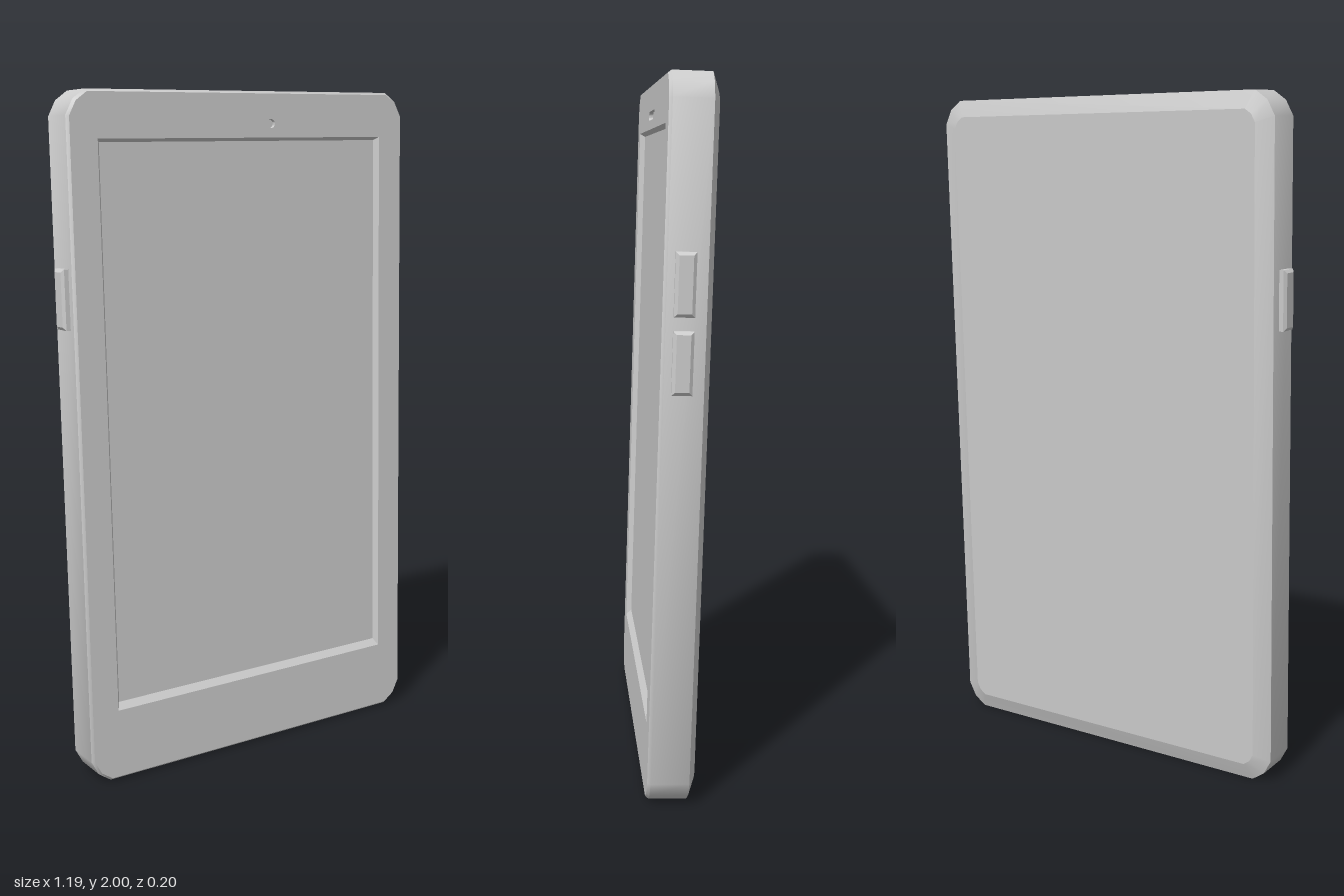
import * as THREE from 'three';
import { toCreasedNormals, mergeGeometries } from 'three/addons/utils/BufferGeometryUtils.js';

const W = 0.575, H = 0.998, FRONT = 0.067, BACK = -0.069, RIM = 0.058, SHOULDER = -0.05;
const material = new THREE.MeshStandardMaterial({ color: 0xcccccc });

const v2 = (x, y) => new THREE.Vector2(x, y);

// Counter-clockwise rectangle from its edges
const rect = (x0, x1, y0, y1) => [v2(x0, y0), v2(x1, y0), v2(x1, y1), v2(x0, y1)];

// Counter-clockwise ellipse or slot outline
function slot(cx, cy, halfWidth, r, n = 12) {
  const pts = [];
  for (let i = 0; i <= n; i++) {
    const a = -Math.PI / 2 + (Math.PI * i) / n;
    pts.push(v2(cx + halfWidth - r + r * Math.cos(a), cy + r * Math.sin(a)));
  }
  return [...pts, ...pts.map(p => v2(2 * cx - p.x, 2 * cy - p.y))];
}

const circle = (cx, cy, r, n = 32) => Array.from({ length: n }, (_, i) =>
  v2(cx + r * Math.cos((2 * Math.PI * i) / n), cy + r * Math.sin((2 * Math.PI * i) / n)));

// Body outline with softly cut corners, drawn in by d
function bodyRing(d) {
  const w = W - d, h = H - d, k = 1 - 0.586 * d / 0.06;
  const a = 0.06 * k, b = 0.07 * k;
  const corner = [v2(w, h - b), v2(w - a * 0.38, h - b * 0.38), v2(w - a, h)];
  const flip = (sx, sy) => corner.map(p => v2(p.x * sx, p.y * sy));
  return [...flip(1, 1), ...flip(-1, 1).reverse(), ...flip(-1, -1), ...flip(1, -1).reverse()];
}

// Skin between matching rings, listed from high z to low z; keep() may drop a side
function loft(rings, keep = () => true) {
  const pos = [];
  for (let r = 0; r < rings.length - 1; r++) {
    const [A, za] = rings[r], [B, zb] = rings[r + 1];
    for (let i = 0; i < A.length; i++) {
      if (!keep(r, i)) continue;
      const j = (i + 1) % A.length;
      const a = [A[i].x, A[i].y, za], b = [B[i].x, B[i].y, zb];
      const c = [B[j].x, B[j].y, zb], d = [A[j].x, A[j].y, za];
      pos.push(...a, ...b, ...c, ...a, ...c, ...d);
    }
  }
  const g = new THREE.BufferGeometry();
  g.setAttribute('position', new THREE.Float32BufferAttribute(pos, 3));
  return toCreasedNormals(g, 0.5);
}

// Flat plate facing +z, with optional holes
function plate(ring, z, holes = []) {
  const s = new THREE.Shape(ring);
  holes.forEach(h => s.holes.push(new THREE.Path(h)));
  const g = new THREE.ShapeGeometry(s).toNonIndexed().translate(0, 0, z);
  g.deleteAttribute('uv');
  return g;
}

// Sunken pocket: inward walls and a floor
function pocket(ring, floor, z, depth) {
  const walls = loft([[[...ring].reverse(), z], [[...floor].reverse(), z - depth]]);
  return mergeGeometries([walls, plate(floor, z - depth)]);
}

function add(group, name, geometry) {
  const mesh = new THREE.Mesh(geometry, material);
  mesh.name = name;
  group.add(mesh);
  return mesh;
}

export function createModel() {
  const model = new THREE.Group();
  model.name = 'handset';
  const phone = new THREE.Group();
  phone.name = 'tiltedHandset';

  // Shell: fine front bevel, straight sides, wide back chamfer
  const full = bodyRing(0);
  const topSide = 2, bottomSide = 8;
  add(phone, 'shell', loft(
    [[bodyRing(0.007), FRONT], [full, RIM], [full, SHOULDER]],
    (r, i) => r !== 1 || (i !== topSide && i !== bottomSide)));
  const backRing = bodyRing(0.05);
  add(phone, 'backChamfer', loft([[full, SHOULDER], [backRing, BACK]]));
  add(phone, 'backPanel', plate(backRing.map(p => v2(-p.x, p.y)).reverse(), 0)
    .rotateY(Math.PI).translate(0, 0, BACK));

  // Front face with the screen and earpiece cut into it
  const screen = rect(-0.485, 0.485, -0.785, 0.865);
  const screenFloor = rect(-0.474, 0.474, -0.765, 0.856);
  const earpiece = slot(-0.003, 0.905, 0.1, 0.013);
  add(phone, 'frontFace', plate(bodyRing(0.007), FRONT, [screen, earpiece]));
  add(phone, 'screen', pocket(screen, screenFloor, FRONT, 0.016));
  add(phone, 'earpiece', pocket(earpiece, earpiece, FRONT, 0.012));

  // Top edge with round socket
  const jack = circle(0.26, -0.005, 0.036);
  const edge = 0.515;
  add(phone, 'topEdge', plate(rect(-edge, edge, -RIM, -SHOULDER), H, [jack]).rotateX(-Math.PI / 2));
  add(phone, 'audioSocket', pocket(jack, jack, H, 0.06).rotateX(-Math.PI / 2));

  // Bottom edge with charging slot
  const port = slot(0, 0.002, 0.045, 0.013);
  add(phone, 'bottomEdge', plate(rect(-edge, edge, SHOULDER, RIM), H, [port]).rotateX(Math.PI / 2));
  add(phone, 'chargingPort', pocket(port, port, H, 0.04).rotateX(Math.PI / 2));

  // Side buttons with bevelled caps
  const buttons = [
    ['volumeUpButton', 1, 0.453, 0.592],
    ['volumeDownButton', 1, 0.247, 0.592],
    ['powerButton', -1, 0.43, 0.595],
  ];
  for (const [name, side, y, reach] of buttons) {
    const cap = d => rect(-0.028 + d, 0.028 - d, -0.085 + d, 0.085 - d);
    const g = mergeGeometries([
      plate(cap(0.009), reach),
      loft([[cap(0.009), reach], [cap(0), reach - 0.007], [cap(0), W - 0.01]]),
    ]);
    add(phone, name, g.rotateY((side * Math.PI) / 2)).position.set(0, y, 0.01);
  }

  // Lean back slightly
  phone.rotation.x = -0.0325;
  phone.position.y = 1;
  model.add(phone);
  return model;
}
